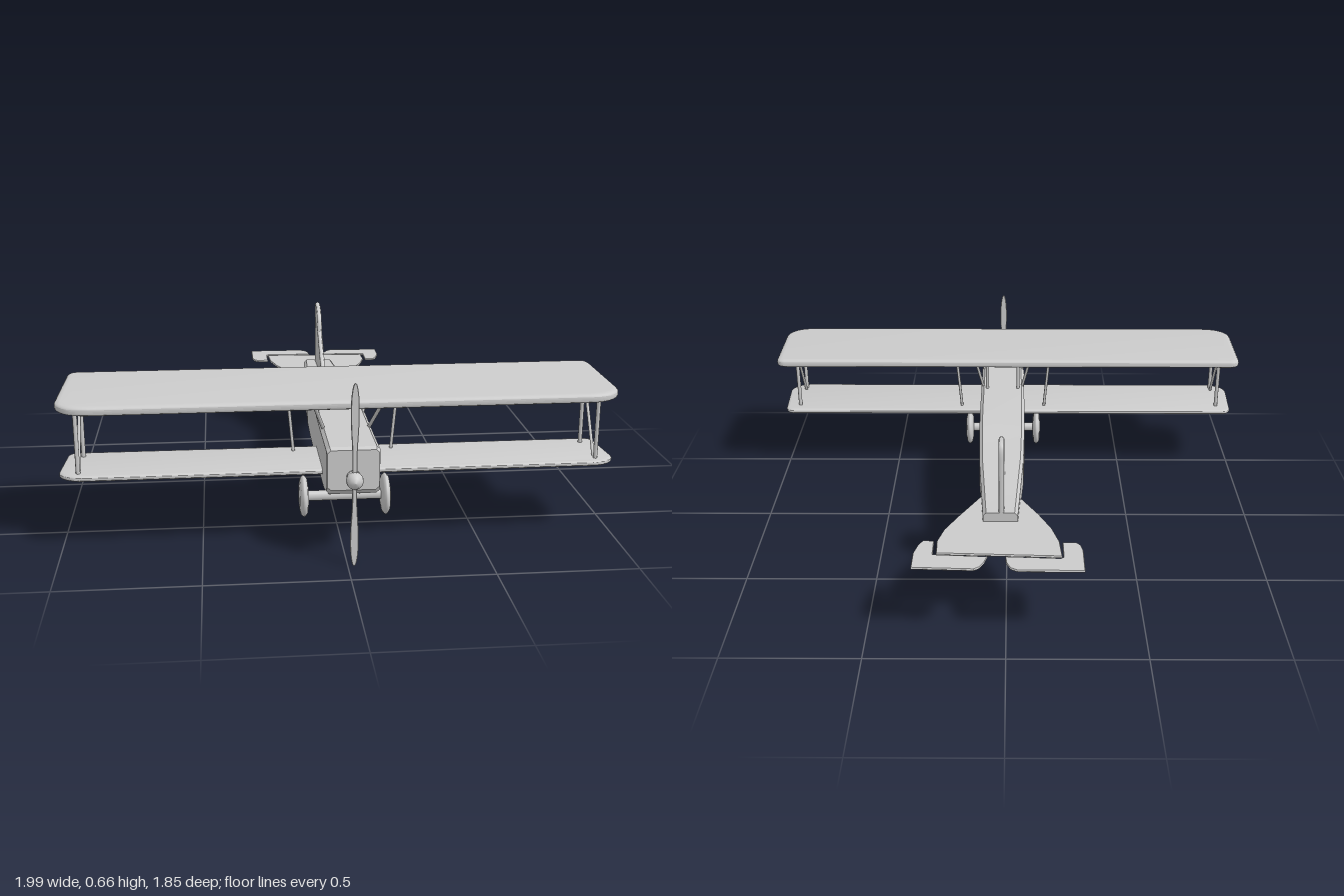
import * as THREE from 'three';
import { toCreasedNormals } from 'three/addons/utils/BufferGeometryUtils.js';

const CX = 0.022; // centre line of the body
const V = (x, y, z) => new THREE.Vector3(x, y, z);

export function createModel() {
  const model = new THREE.Group();
  const grey = new THREE.MeshStandardMaterial({ color: 0xcccccc });
  const flat = new THREE.MeshStandardMaterial({ color: 0xcccccc, flatShading: true, side: THREE.DoubleSide });

  const add = (name, geo, mat = grey, parent = model) => {
    const mesh = new THREE.Mesh(geo, mat);
    mesh.name = name;
    parent.add(mesh);
    return mesh;
  };
  const outline = (pts) => new THREE.Shape(pts.map(([a, b]) => new THREE.Vector2(a, b)));

  // plate of given thickness, centred on its own plane, with rounded edges kept inside the outline
  const plate = (shape, thick, bevel, steps = 4) => {
    const bt = thick * 0.42;
    const g = new THREE.ExtrudeGeometry(shape, {
      depth: thick - 2 * bt, bevelThickness: bt, bevelSize: bevel, bevelOffset: -bevel,
      bevelSegments: steps, curveSegments: 8,
    });
    g.translate(0, 0, -(thick - 2 * bt) / 2);
    return toCreasedNormals(g, 0.75);
  };
  const flatPlate = (...args) => plate(...args).rotateX(Math.PI / 2); // outline given in x, z

  // round bar between two points
  const bar = (name, a, b, r, parent) => {
    const mesh = add(name, new THREE.CylinderGeometry(r, r, a.distanceTo(b), 8), grey, parent);
    mesh.position.copy(a).add(b).multiplyScalar(0.5);
    mesh.quaternion.setFromUnitVectors(V(0, 1, 0), b.clone().sub(a).normalize());
  };

  // fuselage: chamfered box sections [z, top, bottom, half width]
  const sections = [
    [0.855, 0.412, 0.268, 0.09], [0.84, 0.42, 0.25, 0.093], [0.75, 0.418, 0.227, 0.093],
    [0.6, 0.416, 0.221, 0.093], [0.15, 0.415, 0.216, 0.093], [0, 0.396, 0.224, 0.092],
    [-0.2, 0.374, 0.24, 0.087], [-0.42, 0.358, 0.258, 0.074], [-0.595, 0.35, 0.268, 0.064],
  ];
  const pos = [], idx = [];
  sections.forEach(([z, t, b, w]) => {
    const c = 0.012;
    [[w, b + c], [w, t - c], [w - c, t], [c - w, t], [-w, t - c], [-w, b + c], [c - w, b], [w - c, b]]
      .forEach(([x, y]) => pos.push(CX + x, y, z));
  });
  for (let s = 0; s < sections.length - 1; s++) {
    for (let i = 0; i < 8; i++) {
      const a = s * 8 + i, b = s * 8 + (i + 1) % 8;
      idx.push(a, a + 8, b, b, a + 8, b + 8);
    }
  }
  const last = (sections.length - 1) * 8;
  for (let i = 1; i < 7; i++) idx.push(0, i, i + 1, last, last + i + 1, last + i);
  const body = new THREE.BufferGeometry();
  body.setAttribute('position', new THREE.Float32BufferAttribute(pos, 3));
  body.setIndex(idx);
  add('fuselage', toCreasedNormals(body, 0.35), new THREE.MeshStandardMaterial({ color: 0xcccccc, side: THREE.DoubleSide }));

  // wings: large round corners at the leading edge, small ones at the trailing edge
  const wingShape = (zBack, zFront, r) => {
    const s = new THREE.Shape();
    s.moveTo(-0.95, zBack);
    s.lineTo(0.95, zBack);
    s.quadraticCurveTo(0.985, zBack, 0.988, zBack + 0.04);
    s.lineTo(0.997, zFront - r);
    s.bezierCurveTo(0.997, zFront - r * 0.4, 0.95, zFront, 0.995 - r * 1.2, zFront);
    s.lineTo(r * 1.2 - 0.995, zFront);
    s.bezierCurveTo(-0.95, zFront, -0.997, zFront - r * 0.4, -0.997, zFront - r);
    s.lineTo(-0.988, zBack + 0.04);
    s.quadraticCurveTo(-0.985, zBack, -0.95, zBack);
    return s;
  };
  const upper = add('upperWing', flatPlate(wingShape(-0.217, 0.217, 0.1), 0.034, 0.022));
  upper.position.set(0, 0.543, 0.53);
  upper.rotation.x = 0.035;
  const lower = add('lowerWing', flatPlate(wingShape(-0.14, 0.14, 0.07), 0.02, 0.012));
  lower.position.set(0, 0.278, 0.565);
  lower.rotation.x = -0.015;

  // struts between the wings and up from the body
  const struts = new THREE.Group();
  struts.name = 'wingStruts';
  model.add(struts);
  for (const side of [-1, 1]) {
    const x = side * 0.928;
    bar('outerFrontStrut', V(x, 0.28, 0.665), V(x, 0.535, 0.665), 0.008, struts);
    bar('outerRearStrut', V(x, 0.28, 0.478), V(x, 0.54, 0.478), 0.008, struts);
    bar('outerDiagonalStrut', V(x, 0.275, 0.65), V(x, 0.535, 0.49), 0.006, struts);
    const at = (dx, y, z) => V(CX + side * dx, y, z);
    bar('innerStrut', at(0.182, 0.28, 0.478), at(0.205, 0.54, 0.478), 0.006, struts);
    bar('frontCabaneStrut', at(0.08, 0.405, 0.6), at(0.125, 0.535, 0.685), 0.007, struts);
    bar('rearCabaneStrut', at(0.066, 0.41, 0.377), at(0.066, 0.545, 0.377), 0.007, struts);
    bar('rearCabaneBrace', at(0.08, 0.39, 0.42), at(0.115, 0.54, 0.375), 0.006, struts);
  }

  // landing gear
  const gear = new THREE.Group();
  gear.name = 'landingGear';
  model.add(gear);
  bar('axle', V(CX - 0.145, 0.138, 0.563), V(CX + 0.145, 0.138, 0.563), 0.02, gear);
  const wheelProfile = [[0, -0.018], [0.045, -0.016], [0.066, -0.012], [0.075, -0.005], [0.077, 0],
    [0.075, 0.005], [0.066, 0.012], [0.045, 0.016], [0, 0.018]].map(([r, y]) => new THREE.Vector2(r, y));
  for (const side of [-1, 1]) {
    const wheel = add('wheel', new THREE.LatheGeometry(wheelProfile, 28).rotateZ(Math.PI / 2), grey, gear);
    wheel.position.set(CX + side * 0.151, 0.138, 0.563);
    for (const z of [0.645, 0.48]) {
      bar('gearStrut', V(CX + side * 0.075, 0.235, z), V(CX + side * 0.052, 0.138, 0.563), 0.007, gear);
    }
  }

  // propeller: hub and two thin blades
  const prop = new THREE.Group();
  prop.name = 'propeller';
  prop.position.set(CX, 0.315, 0.888);
  model.add(prop);
  const hubProfile = [[0, -0.04], [0.024, -0.04], [0.027, -0.015], [0.03, 0], [0.028, 0.015], [0.018, 0.029], [0, 0.035]]
    .map(([r, y]) => new THREE.Vector2(r, y));
  add('hub', new THREE.LatheGeometry(hubProfile, 20).rotateX(Math.PI / 2), grey, prop);
  const blade = new THREE.Shape();
  blade.moveTo(-0.008, 0);
  blade.splineThru([[-0.009, 0.1], [-0.014, 0.2], [-0.014, 0.28], [-0.008, 0.33], [0, 0.343],
    [0.008, 0.33], [0.014, 0.28], [0.014, 0.2], [0.009, 0.1], [0.008, 0]].map(([x, y]) => new THREE.Vector2(x, y)));
  for (const [turn, length] of [[0, 1], [Math.PI, 0.918]]) {
    const b = add('blade', plate(blade, 0.006, 0.002, 1), grey, prop);
    b.rotation.z = turn;
    b.scale.y = length;
  }

  // fin, outline in z, y
  const fin = new THREE.Shape();
  fin.moveTo(-0.235, 0.36);
  fin.lineTo(-0.595, 0.34);
  fin.lineTo(-0.59, 0.565);
  fin.bezierCurveTo(-0.588, 0.63, -0.56, 0.628, -0.53, 0.622);
  fin.bezierCurveTo(-0.48, 0.615, -0.44, 0.58, -0.435, 0.52);
  fin.lineTo(-0.26, 0.385);
  const finMesh = add('fin', plate(fin, 0.02, 0.008, 3).rotateY(-Math.PI / 2));
  finMesh.position.x = CX - 0.004;

  // tailplane and elevators, outlines in x, z
  const tail = new THREE.Group();
  tail.name = 'tail';
  tail.position.y = 0.309;
  model.add(tail);
  const tailParts = {
    tailplane: [[0.02, -0.4], [-0.055, -0.42], [-0.12, -0.54], [-0.165, -0.64], [-0.19, -0.73], [-0.197, -0.83],
      [0, -0.822], [0.245, -0.812], [0.247, -0.73], [0.225, -0.65], [0.175, -0.55], [0.095, -0.4]],
    rightElevator: [[-0.272, -0.922], [-0.04, -0.92], [-0.015, -0.905], [0, -0.87], [0.002, -0.832],
      [-0.19, -0.842], [-0.2, -0.835], [-0.2, -0.737], [-0.25, -0.737], [-0.265, -0.755], [-0.272, -0.79]],
    leftElevator: [[0.11, -0.914], [0.327, -0.905], [0.326, -0.81], [0.312, -0.755], [0.295, -0.725],
      [0.256, -0.73], [0.256, -0.82], [0.064, -0.832], [0.075, -0.87], [0.09, -0.9]],
  };
  for (const [name, pts] of Object.entries(tailParts)) {
    add(name, flatPlate(outline(pts), 0.009, 0.002, 1), flat, tail);
  }
  return model;
}
